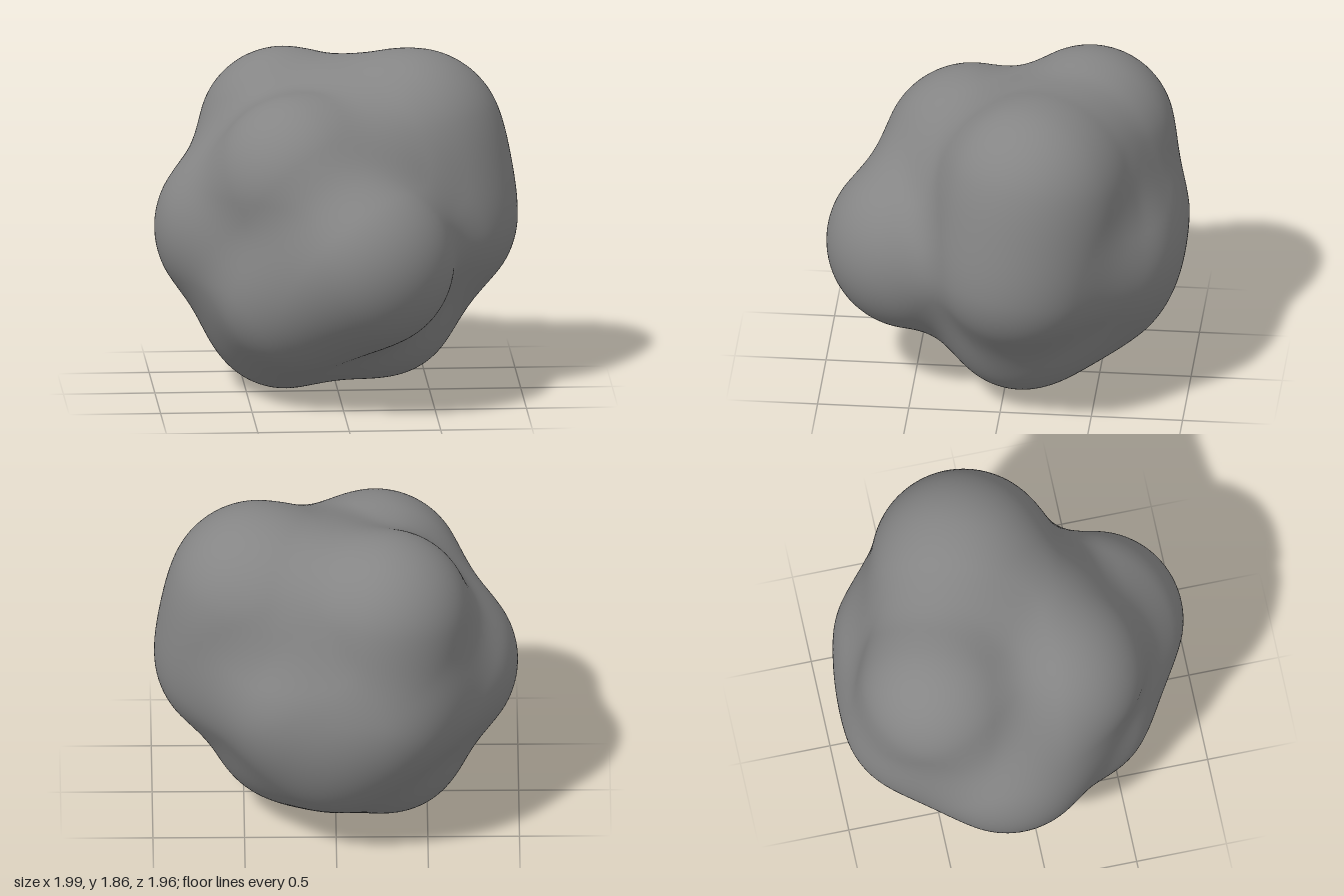
import * as THREE from 'three';
import { mergeVertices } from 'three/addons/utils/BufferGeometryUtils.js';

// Lobes of the lump: centre x, y, z and radius
const LOBES = [
  [0.42, 1.36, -0.17, 0.50], // upper left
  [0.50, 0.95, -0.12, 0.49], // left
  [0.12, 0.84, 0.50, 0.485], // front
  [-0.22, 1.22, 0.22, 0.485], // upper front
  [-0.23, 0.65, 0.27, 0.475], // lower front
  [-0.27, 1.36, -0.42, 0.465], // upper back
  [-0.50, 0.90, -0.12, 0.495], // right
  [-0.22, 0.88, -0.49, 0.48], // back
  [0.20, 0.88, -0.48, 0.45], // back
  [0.00, 0.62, -0.42, 0.44], // lower back
  [-0.28, 0.44, -0.12, 0.44], // underside
  [0.23, 0.50, -0.10, 0.44], // underside
  [0.10, 1.20, 0.02, 0.44], // saddle between the upper lobes
  [0.12, 1.32, -0.28, 0.42], // saddle behind it
];
const BLEND = 0.22; // width of the soft valleys
const CORE = new THREE.Vector3(0, 0.93, 0);

// Smooth union of the lobes, negative inside
function field(p) {
  let d = Infinity;
  for (const [x, y, z, r] of LOBES) {
    const lobe = Math.hypot(p.x - x, p.y - y, p.z - z) - r;
    const h = Math.max(BLEND - Math.abs(d - lobe), 0) / BLEND;
    d = Math.min(d, lobe) - (h * h * BLEND) / 4;
  }
  return d;
}

// Push every vertex of a sphere outward to the blended surface
function lumpGeometry() {
  let geometry = new THREE.IcosahedronGeometry(1, 36);
  geometry.deleteAttribute('normal');
  geometry.deleteAttribute('uv');
  geometry = mergeVertices(geometry, 1e-4);
  const pos = geometry.attributes.position;
  const dir = new THREE.Vector3();
  const p = new THREE.Vector3();
  for (let i = 0; i < pos.count; i++) {
    dir.fromBufferAttribute(pos, i).normalize();
    let near = 0.2;
    let far = 1.6;
    for (let n = 0; n < 24; n++) {
      const mid = (near + far) / 2;
      p.copy(CORE).addScaledVector(dir, mid);
      if (field(p) < 0) near = mid;
      else far = mid;
    }
    p.copy(CORE).addScaledVector(dir, near);
    pos.setXYZ(i, p.x, p.y, p.z);
  }
  geometry.computeVertexNormals();
  return geometry;
}

export function createModel() {
  const group = new THREE.Group();
  group.name = 'lumpyBlob';
  const material = new THREE.MeshStandardMaterial({ color: 0x858585 });
  const body = new THREE.Mesh(lumpGeometry(), material);
  body.name = 'body';
  group.add(body);
  return group;
}
